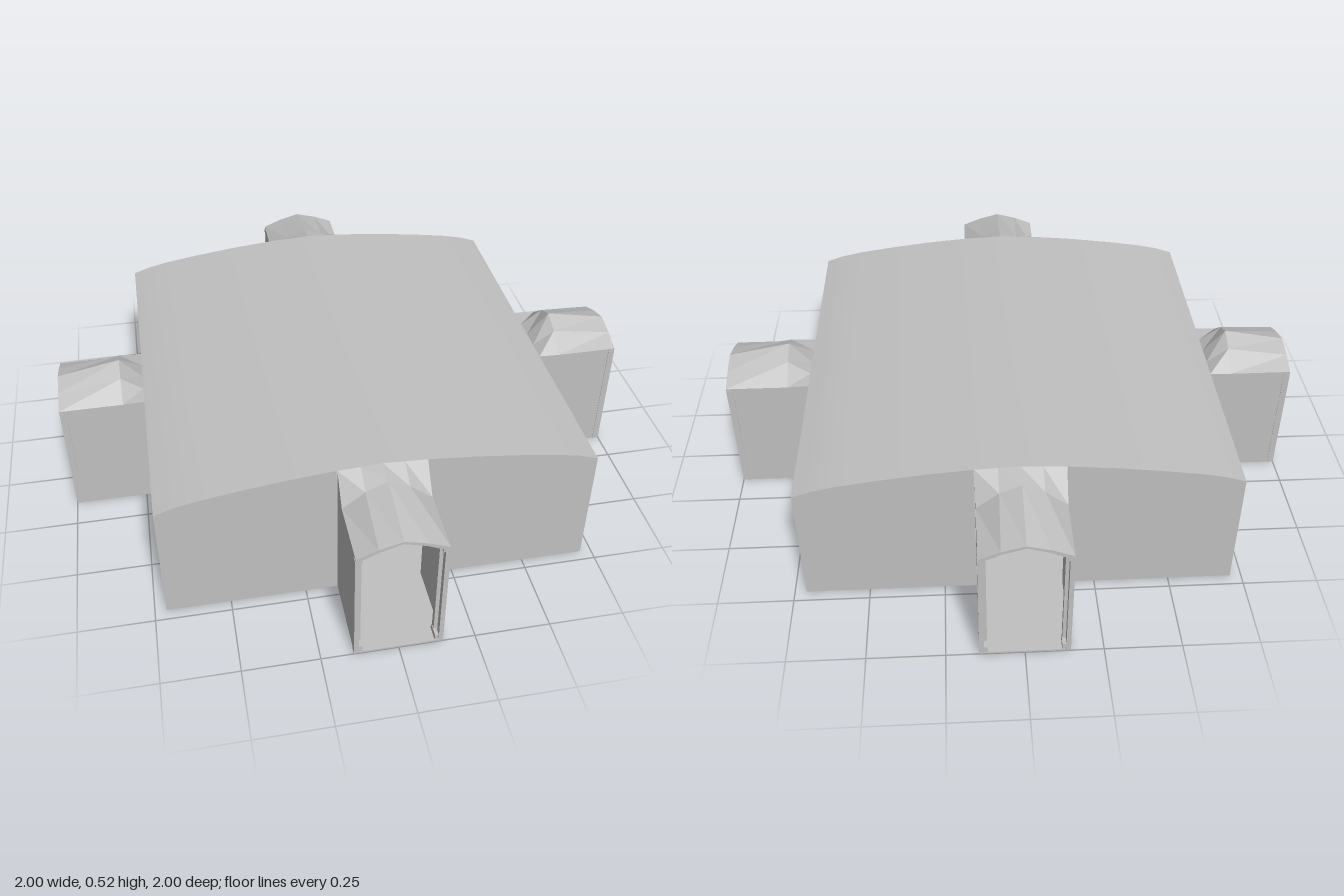
import * as THREE from 'three';

const HALF = 0.712; // half width of the hall
const PORCH = 0.143; // half width of a porch
const EAVE = 0.425;
// right half of the shallow vaulted roof, centre to edge
const VAULT = [[0, 0.525], [0.145, 0.517], [0.3, 0.503], [0.45, 0.484], [0.57, 0.466], [0.65, 0.449], [HALF, 0.428]];

const stone = new THREE.MeshStandardMaterial({ color: 0xc0c0c0, side: THREE.DoubleSide });
stone.name = 'pale grey';

function add(group, geometry, name, x = 0, y = 0, z = 0) {
  const mesh = new THREE.Mesh(geometry, stone);
  mesh.name = name;
  mesh.position.set(x, y, z);
  group.add(mesh);
  return mesh;
}

// mirror a half profile into a full one, left to right
function mirrored(half) {
  return [...half.slice(1).reverse().map(([x, y]) => [-x, y]), ...half];
}

// surface through cross-sections, each {z, pts}
function loft(sections, smooth) {
  const pos = [], index = [];
  const n = sections[0].pts.length;
  for (const s of sections) for (const [x, y] of s.pts) pos.push(x, y, s.z);
  for (let j = 0; j < sections.length - 1; j++) {
    for (let i = 0; i < n - 1; i++) {
      const a = j * n + i, b = a + n;
      index.push(a, b, b + 1, a, b + 1, a + 1);
    }
  }
  let g = new THREE.BufferGeometry();
  g.setAttribute('position', new THREE.Float32BufferAttribute(pos, 3));
  g.setIndex(index);
  if (!smooth) g = g.toNonIndexed();
  g.computeVertexNormals();
  return g;
}

function shapeOf(pts) {
  return new THREE.Shape(pts.map(([x, y]) => new THREE.Vector2(x, y)));
}

// porch facing +z; wallY gives the roof heights where it meets the hall
function porch(name, wallY) {
  const g = new THREE.Group();
  g.name = name;
  const length = 1 - HALF;

  // roof: low arch at the mouth, rising to a peak, then folding to the hall
  const roof = [
    { z: HALF, pts: mirrored([[0, wallY[0]], [0.07, wallY[1]], [PORCH, wallY[2]]]) },
    { z: 0.785, pts: mirrored([[0, 0.513], [0.07, 0.482], [PORCH, EAVE]]) },
    { z: 1, pts: mirrored([[0, 0.472], [0.075, 0.452], [PORCH, EAVE]]) },
  ];
  add(g, loft(roof, false), 'porchRoof');

  for (const s of [-1, 1]) {
    const side = new THREE.PlaneGeometry(length, EAVE);
    side.rotateY(s * Math.PI / 2);
    add(g, side, 'porchSideWall', s * PORCH, EAVE / 2, HALF + length / 2);
    // gusset between the fold of the roof and the eave
    const gusset = new THREE.BufferGeometry().setFromPoints([
      new THREE.Vector3(s * PORCH, EAVE, HALF),
      new THREE.Vector3(s * PORCH, EAVE, 0.785),
      new THREE.Vector3(s * PORCH, wallY[2], HALF),
    ]);
    gusset.setIndex(s > 0 ? [0, 2, 1] : [0, 1, 2]);
    gusset.computeVertexNormals();
    add(g, gusset, 'porchGusset');
    // stepped door posts and their foot
    add(g, new THREE.BoxGeometry(0.015, 0.415, 0.022), 'outerDoorPost', s * 0.137, 0.2075, 0.989);
    add(g, new THREE.BoxGeometry(0.014, 0.41, 0.02), 'innerDoorPost', s * 0.126, 0.205, 0.962);
    add(g, new THREE.BoxGeometry(0.026, 0.028, 0.05), 'postFoot', s * 0.13, 0.014, 0.973);
  }

  // angular arch over the mouth
  const outer = mirrored([[0, 0.472], [0.075, 0.452], [PORCH, 0.424], [PORCH, 0.405]]);
  const inner = mirrored([[0, 0.463], [0.07, 0.442], [0.122, 0.418], [0.122, 0.405]]);
  const arch = new THREE.ExtrudeGeometry(shapeOf([...outer, ...inner.reverse()]), { depth: 0.022, bevelEnabled: false });
  add(g, arch, 'doorArch', 0, 0, 0.978);
  return g;
}

export function createModel() {
  const model = new THREE.Group();
  model.name = 'hall';

  // cross-shaped floor
  const a = PORCH, b = HALF;
  const cross = shapeOf([[-a, -1], [a, -1], [a, -b], [b, -b], [b, -a], [1, -a], [1, a], [b, a], [b, b],
    [a, b], [a, 1], [-a, 1], [-a, b], [-b, b], [-b, a], [-1, a], [-1, -a], [-b, -a], [-b, -b], [-a, -b]]);
  const floor = new THREE.ExtrudeGeometry(cross, { depth: 0.006, bevelEnabled: false });
  floor.rotateX(-Math.PI / 2);
  add(model, floor, 'floor');

  // vaulted roof
  const vault = mirrored(VAULT);
  add(model, loft([{ z: -HALF, pts: vault }, { z: HALF, pts: vault }], true), 'roof');

  // walls: front and back follow the vault, the sides are level
  for (const end of [0, 1]) {
    for (const s of [-1, 1]) {
      const panel = [[PORCH, 0], [HALF, 0], ...VAULT.slice(1).reverse()].map(([x, y]) => [s * x, y]);
      const gableWall = add(model, new THREE.ShapeGeometry(shapeOf(panel)), end ? 'backWall' : 'frontWall');
      gableWall.rotation.y = end * Math.PI;
      gableWall.position.z = end ? -HALF : HALF;

      const side = new THREE.PlaneGeometry(HALF - PORCH, 0.428);
      const sideWall = add(model, side, end ? 'rightWall' : 'leftWall',
        end ? -HALF : HALF, 0.214, s * (HALF + PORCH) / 2);
      sideWall.rotation.y = end ? -Math.PI / 2 : Math.PI / 2;
    }
  }

  // four porches; front and back run up to the vault, the sides dip to the eave
  const names = ['frontPorch', 'leftPorch', 'backPorch', 'rightPorch'];
  names.forEach((name, i) => {
    const p = porch(name, i % 2 ? [0.43, 0.429, 0.428] : [0.525, 0.521, 0.517]);
    p.rotation.y = i * Math.PI / 2;
    model.add(p);
  });

  // benches and corner blocks inside
  for (const s of [-1, 1]) {
    add(model, new THREE.BoxGeometry(0.1, 0.058, 0.18), 'bench', s * 0.43, 0.029, -s * 0.142);
    add(model, new THREE.BoxGeometry(0.11, 0.014, 0.192), 'benchTop', s * 0.43, 0.065, -s * 0.142);
    for (const t of [-1, 1]) {
      add(model, new THREE.BoxGeometry(0.065, 0.07, 0.065), 'cornerBlock', s * 0.42, 0.035, t * 0.42);
    }
  }
  return model;
}
